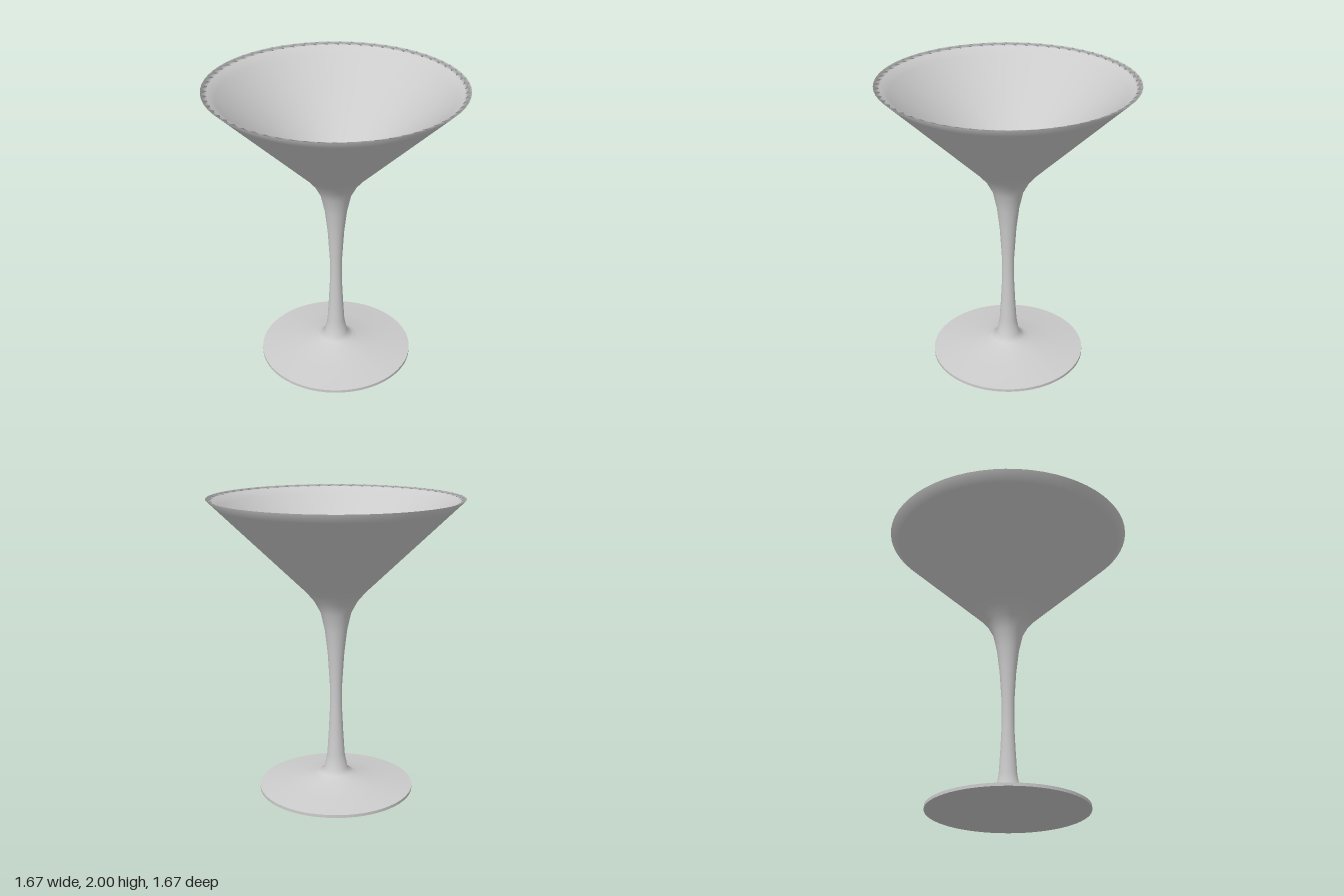
import * as THREE from 'three';

const SIDES = 64;

export function createModel() {
  const model = new THREE.Group();
  const material = new THREE.MeshStandardMaterial({ color: 0xcccccc });

  // Turns a profile of [radius, height] points; outer walls run upwards
  const turn = (name, profile, parent = model) => {
    const points = profile.map(([r, y]) => new THREE.Vector2(r, y));
    const mesh = new THREE.Mesh(new THREE.LatheGeometry(points, SIDES), material);
    mesh.name = name;
    parent.add(mesh);
  };

  // Foot: separate profiles keep its rim edges sharp
  const foot = new THREE.Group();
  foot.name = 'foot';
  model.add(foot);
  turn('footUnderside', [[0, 0], [0.527, 0]], foot);
  turn('footEdge', [[0.527, 0], [0.527, 0.02]], foot);
  turn('footTop', [[0.527, 0.02], [0.32, 0.05], [0.155, 0.085], [0.115, 0.11]], foot);

  // Stem: waisted, flaring into the cone of the bowl
  turn('stem', [
    [0.115, 0.11], [0.08, 0.135], [0.06, 0.24], [0.05, 0.4], [0.042, 0.56],
    [0.042, 0.74], [0.056, 0.96], [0.075, 1.12], [0.102, 1.24],
    [0.145, 1.32], [0.2, 1.385], [0.26, 1.443],
  ]);

  // Bowl: outer cone, soft rim, inner cone and small flat bottom
  turn('bowl', [
    [0.26, 1.443], [0.775, 1.942], [0.835, 2], [0.795, 1.988],
    [0.745, 1.945], [0.13, 1.36], [0.06, 1.315], [0, 1.31],
  ]);

  return model;
}
